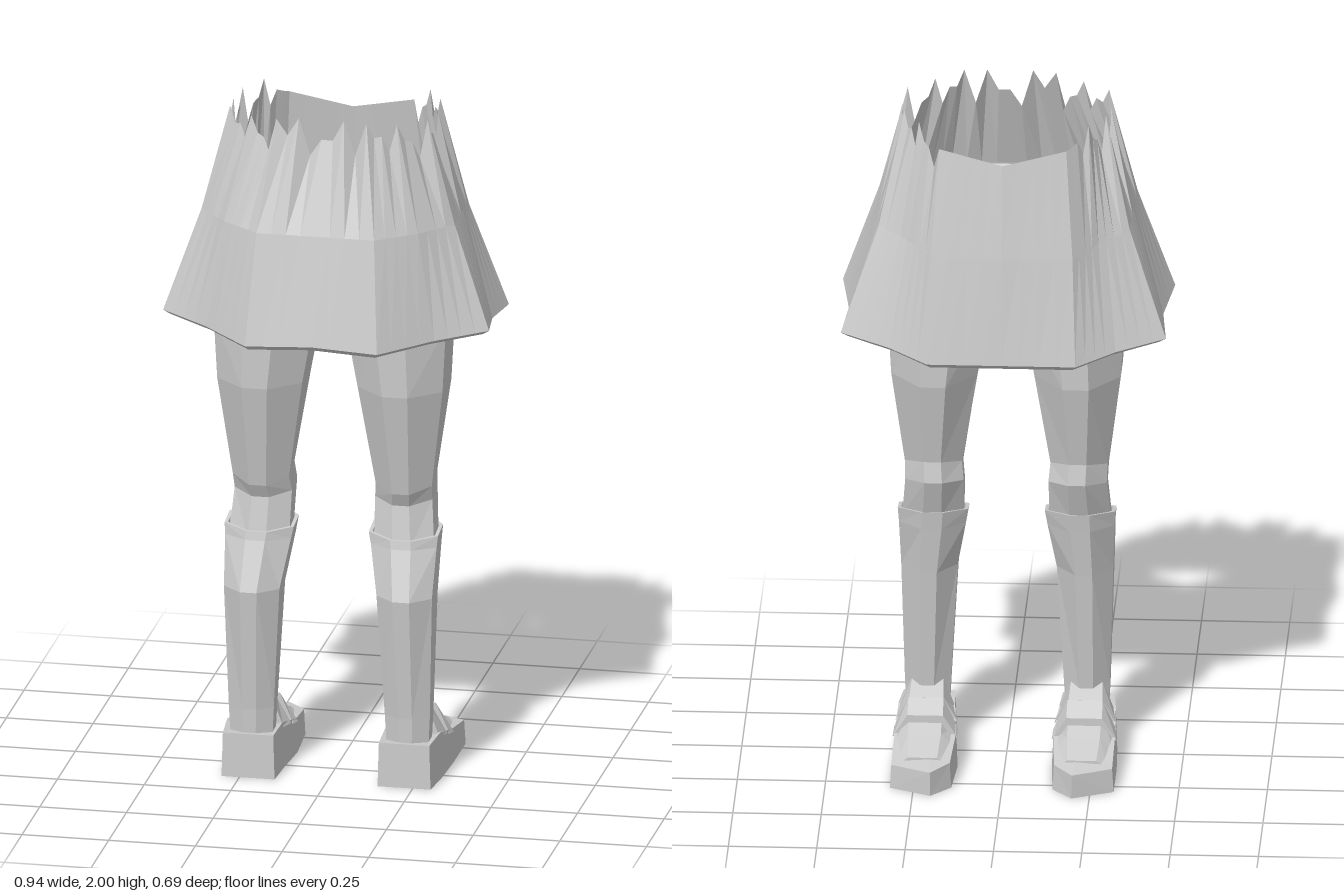
import * as THREE from 'three';

const grey = new THREE.MeshStandardMaterial({ color: 0xcccccc, side: THREE.DoubleSide });
grey.name = 'plain grey';

// Flat-faced skin through rings of [x, y, z]; rings run bottom to top, counter-clockwise from above.
function loft(name, rings, { capStart = false, capEnd = false, mirror = false } = {}) {
  const pos = [];
  const m = mirror ? -1 : 1;
  const tri = (a, b, c) => {
    for (const p of mirror ? [a, c, b] : [a, b, c]) pos.push(p[0] * m, p[1], p[2]);
  };
  const n = rings[0].length;
  for (let r = 0; r < rings.length - 1; r++) {
    for (let i = 0; i < n; i++) {
      const j = (i + 1) % n;
      const [a, b, c, d] = [rings[r][i], rings[r][j], rings[r + 1][j], rings[r + 1][i]];
      tri(a, b, c);
      tri(a, c, d);
    }
  }
  const cap = (ring, flip) => {
    const mid = [0, 1, 2].map(k => ring.reduce((s, p) => s + p[k], 0) / n);
    ring.forEach((p, i) => {
      const q = ring[(i + 1) % n];
      flip ? tri(mid, q, p) : tri(mid, p, q);
    });
  };
  if (capStart) cap(rings[0], true);
  if (capEnd) cap(rings[rings.length - 1], false);
  const g = new THREE.BufferGeometry();
  g.setAttribute('position', new THREE.Float32BufferAttribute(pos, 3));
  g.computeVertexNormals();
  const mesh = new THREE.Mesh(g, grey);
  mesh.name = name;
  return mesh;
}

// Full ring from its +x half, starting and ending on the centre line.
const fullRing = half => [...half, ...half.slice(1, -1).reverse().map(([x, y, z]) => [-x, y, z])];
// Insert midpoints so the torn rim has enough corners.
const split = ring => ring.flatMap((p, i) => {
  const q = ring[(i + 1) % ring.length];
  return [p, p.map((v, k) => (v + q[k]) / 2)];
});

// Skirt outlines
const hem = fullRing([[0, 1.37, 0.345], [0.19, 1.36, 0.345], [0.33, 1.37, 0.22], [0.47, 1.38, 0.13],
  [0.445, 1.36, -0.04], [0.46, 1.35, -0.2], [0.32, 1.33, -0.26], [0.21, 1.31, -0.33], [0, 1.31, -0.33]]);
const hip = fullRing([[0, 1.68, 0.285], [0.17, 1.68, 0.285], [0.28, 1.68, 0.2], [0.365, 1.68, 0.1],
  [0.36, 1.68, -0.04], [0.355, 1.66, -0.15], [0.27, 1.64, -0.21], [0.2, 1.62, -0.285], [0, 1.62, -0.295]]);
const waist = fullRing([[0, 1.95, 0.195], [0.13, 1.95, 0.195], [0.21, 1.95, 0.155], [0.285, 1.94, 0.09],
  [0.295, 1.94, -0.01], [0.285, 1.94, -0.09], [0.24, 1.95, -0.17], [0.18, 1.93, -0.235], [0, 1.89, -0.257]]);

function makeSkirt() {
  const skirt = new THREE.Group();
  skirt.name = 'skirt';
  const teeth = [0.03, -0.02, 0.045, -0.01, 0.03, -0.04, 0.04, -0.03];
  const rim = split(split(waist)).map(([x, y, z], i) => {
    const jag = z < -0.23 ? 0 : (i % 2 ? -0.035 : 0.012) + teeth[(i >> 1) % 8] * 0.8;
    return [x, Math.min(2, y + jag), z];
  });
  rim[0][1] = 1.94;
  rim[2][1] = rim[62][1] = 2;
  const fold = hem.map(([x, y, z]) => [x * 0.96, y - 0.012, z * 0.97]);
  skirt.add(loft('skirtCloth', [hem, hip, waist].map(r => split(split(r))).slice(0, 2).concat([rim])));
  skirt.add(loft('hemFold', [fold, hem]));
  // Closed inside between the cloth and the thighs
  const inner = fullRing([[0, 1.5, 0.19], [0.1, 1.5, 0.17], [0.24, 1.5, 0.16], [0.31, 1.5, 0.09],
    [0.33, 1.5, 0], [0.31, 1.5, -0.09], [0.25, 1.5, -0.16], [0.14, 1.5, -0.19], [0, 1.5, -0.19]]);
  const outer = hip.map(([x, y, z]) => [x * 0.97, y, z * 0.97]);
  skirt.add(loft('lining', [inner, outer]));
  return skirt;
}

// Eight-sided leg section between x0..x1 and z0..z1; tilt lifts the front edge.
const section = [[-0.3, 1], [0.3, 1], [1, 0.5], [1, -0.3], [0.3, -1], [-0.3, -1], [-1, -0.3], [-1, 0.5]];
const legRing = ([y, x0, x1, z0, z1, tilt = 0]) => section.map(([u, v]) => [
  (x0 + x1) / 2 + u * (x1 - x0) / 2, y - v * tilt, (z0 + z1) / 2 + v * (z1 - z0) / 2]);

function makeLeg(name, mirror) {
  const leg = new THREE.Group();
  leg.name = name;
  const add = (part, rings, caps = {}) => leg.add(loft(part, rings, { ...caps, mirror }));

  // Lower leg with sock cuff, then knee and thigh
  add('sock', [
    [0.1, 0.165, 0.285, -0.005, 0.11],
    [0.2, 0.16, 0.29, -0.01, 0.115],
    [0.56, 0.14, 0.3, -0.05, 0.155],
    [0.7, 0.115, 0.305, -0.07, 0.105],
    [0.74, 0.108, 0.308, -0.078, 0.1, 0.015],
    [0.74, 0.118, 0.298, -0.068, 0.09, 0.015],
  ].map(legRing));
  add('thigh', [
    [0.72, 0.122, 0.295, -0.07, 0.09, 0.02],
    [0.84, 0.12, 0.285, -0.115, 0.07, 0.02],
    [0.89, 0.125, 0.287, -0.105, 0.09, 0.03],
    [1.17, 0.08, 0.325, -0.16, 0.155],
    [1.36, 0.045, 0.335, -0.165, 0.16],
    [1.5, 0.0, 0.335, -0.185, 0.17],
  ].map(legRing));

  // Shoe: sole block with a pointed toe, sloping down to the front
  const outline = [[0.15, 0.13, 0.13], [0.3, 0.13, 0.13], [0.31, 0.02, 0.135], [0.315, -0.12, 0.1],
    [0.315, -0.29, 0.07], [0.2, -0.345, 0.07], [0.145, -0.28, 0.075], [0.135, -0.12, 0.1], [0.145, 0.02, 0.135]];
  const at = (k, y) => outline.map(([x, z, h]) => [0.225 + (x - 0.225) * k, y ?? h, z]);
  add('shoeSole', [at(1.02, 0), at(0.97)], { capStart: true, capEnd: true });

  // Raised instep and straps, each a run of arched sections from heel to toe
  const arch = ([z, y, hw, base]) => [[0.225 - hw, base, z], [0.225 - hw * 0.55, y, z],
    [0.225 + hw * 0.55, y, z], [0.225 + hw, base, z]];
  const ends = { capStart: true, capEnd: true };
  add('shoeInstep', [[0.01, 0.2, 0.078, 0.11], [-0.07, 0.155, 0.084, 0.1], [-0.17, 0.115, 0.085, 0.08],
    [-0.27, 0.085, 0.075, 0.06]].map(arch), ends);
  add('ankleStrap', [[0.02, 0.215, 0.08, 0.12], [-0.05, 0.18, 0.088, 0.11]].map(arch), ends);
  add('frontStrap', [[-0.075, 0.19, 0.09, 0.1], [-0.125, 0.155, 0.092, 0.09]].map(arch), ends);
  return leg;
}

export function createModel() {
  const model = new THREE.Group();
  model.name = 'skirtedLegs';
  model.add(makeSkirt(), makeLeg('leftLeg', false), makeLeg('rightLeg', true));
  return model;
}
